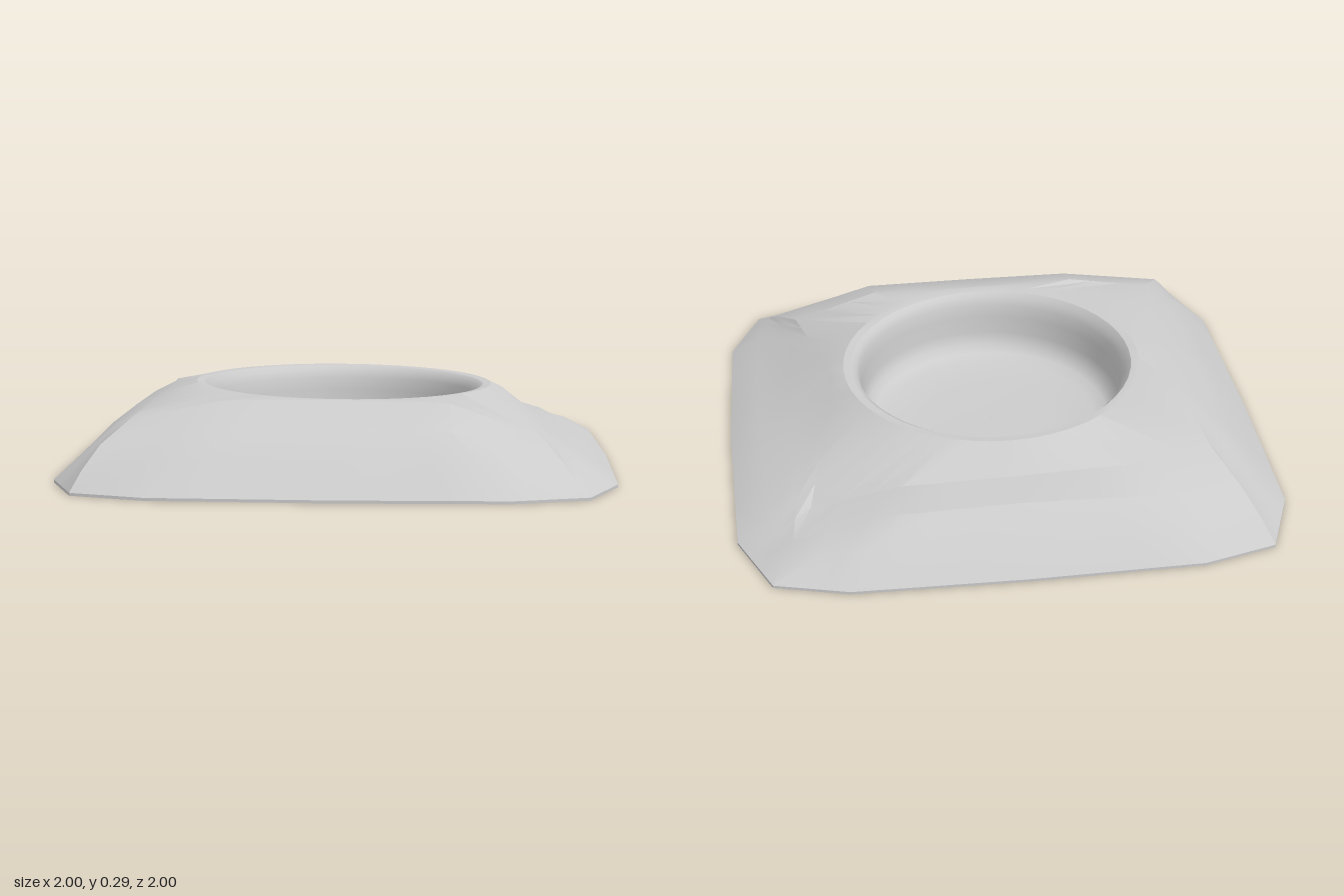
import * as THREE from 'three';
import { toCreasedNormals } from 'three/addons/utils/BufferGeometryUtils.js';

const SPLIT = 3;          // subdivisions per edge of a 16-point outline
const COUNT = 16 * SPLIT; // points in every loop

// Subdivide a 16-point outline of [x, y, z] corners
function outline(corners) {
  const loop = [];
  corners.forEach((c, i) => {
    const next = corners[(i + 1) % corners.length];
    for (let s = 0; s < SPLIT; s++) loop.push(c.map((v, k) => v + (next[k] - v) * s / SPLIT));
  });
  return loop;
}

// Horizontal circle, optionally rising towards -x
function circle(r, y, rise = 0) {
  return Array.from({ length: COUNT }, (_, i) => {
    const a = i / COUNT * Math.PI * 2;
    return [r * Math.cos(a), y - rise * Math.cos(a), r * Math.sin(a)];
  });
}

// Join successive loops into a skin
function skin(name, loops, crease) {
  const index = [];
  for (let j = 0; j < loops.length - 1; j++) {
    for (let i = 0; i < COUNT; i++) {
      const a = j * COUNT + i, b = j * COUNT + (i + 1) % COUNT;
      index.push(a, a + COUNT, b, b, a + COUNT, b + COUNT);
    }
  }
  const geometry = new THREE.BufferGeometry();
  geometry.setAttribute('position', new THREE.Float32BufferAttribute(loops.flat(2), 3));
  geometry.setIndex(index);
  const material = new THREE.MeshStandardMaterial({ color: 0xcccccc, side: THREE.DoubleSide });
  const mesh = new THREE.Mesh(toCreasedNormals(geometry, crease), material);
  mesh.name = name;
  return mesh;
}

export function createModel() {
  const model = new THREE.Group();
  model.name = 'stoneBasin';

  // Outline on the ground: clipped square, starting at +x and turning towards +z
  const foot = [
    [1, 0], [0.985, 0.65], [0.87, 0.905], [0.61, 0.985],
    [0, 1], [-0.62, 0.985], [-0.885, 0.905], [-0.99, 0.65],
    [-1, 0], [-0.99, -0.66], [-0.885, -0.92], [-0.62, -0.99],
    [0, -1], [0.61, -0.99], [0.87, -0.92], [0.985, -0.66],
  ];
  const footAt = y => outline(foot.map(([x, z]) => [x, y, z]));

  // Bulge low on the sides
  const bulge = outline([
    [0.89, 0.088, 0], [0.88, 0.08, 0.62], [0.83, 0.05, 0.84], [0.52, 0.115, 0.88],
    [0, 0.12, 0.88], [-0.52, 0.115, 0.88], [-0.85, 0.08, 0.85], [-0.88, 0.11, 0.62],
    [-0.89, 0.12, 0], [-0.88, 0.11, -0.62], [-0.85, 0.075, -0.86], [-0.52, 0.12, -0.895],
    [0, 0.13, -0.895], [0.52, 0.12, -0.895], [0.83, 0.045, -0.85], [0.88, 0.068, -0.62],
  ]);

  // Upper bevel of the rough-hewn sides
  const bevel = outline([
    [0.78, 0.128, 0], [0.76, 0.145, 0.45], [0.79, 0.1, 0.76], [0.41, 0.205, 0.78],
    [0, 0.21, 0.775], [-0.41, 0.205, 0.78], [-0.8, 0.155, 0.77], [-0.8, 0.18, 0.5],
    [-0.8, 0.19, 0], [-0.8, 0.18, -0.5], [-0.8, 0.145, -0.77], [-0.42, 0.185, -0.81],
    [0, 0.195, -0.81], [0.42, 0.185, -0.81], [0.79, 0.085, -0.77], [0.76, 0.11, -0.45],
  ]);

  // Shoulder below the top, with a low ledge at the back
  const shoulder = outline([
    [0.6, 0.27, 0], [0.66, 0.22, 0.3], [0.72, 0.17, 0.6], [0.4, 0.28, 0.585],
    [0, 0.286, 0.575], [-0.4, 0.285, 0.585], [-0.72, 0.225, 0.6], [-0.68, 0.25, 0.3],
    [-0.65, 0.265, 0], [-0.68, 0.25, -0.3], [-0.72, 0.22, -0.6], [-0.4, 0.21, -0.65],
    [0, 0.2, -0.655], [0.4, 0.19, -0.65], [0.72, 0.095, -0.6], [0.66, 0.18, -0.3],
  ]);

  // Underside with an eight-sided opening
  const opening = outline(Array.from({ length: 16 }, (_, i) => {
    const a = i * Math.PI / 8, r = i % 2 ? 0.875 * Math.cos(Math.PI / 8) : 0.875;
    return [r * Math.cos(a), 0, r * Math.sin(a)];
  }));
  model.add(skin('underside', [opening, footAt(0)], 0.5));

  // Sloping body up to the edge of the well
  const rim = circle(0.53, 0.286, 0.006);
  const body = [footAt(0), footAt(0.01), bulge, bevel, shoulder, circle(0.56, 0.289, 0.006), rim];
  model.add(skin('slopingBody', body, 0.4));

  // Round well: rolled lip, wall, dished floor
  model.add(skin('well', [
    rim, circle(0.512, 0.27), circle(0.5, 0.24), circle(0.493, 0.19),
    circle(0.49, 0.12), circle(0.48, 0.07), circle(0.45, 0.045),
    circle(0.4, 0.031), circle(0.25, 0.024), circle(0.001, 0.022),
  ], 1));

  return model;
}
